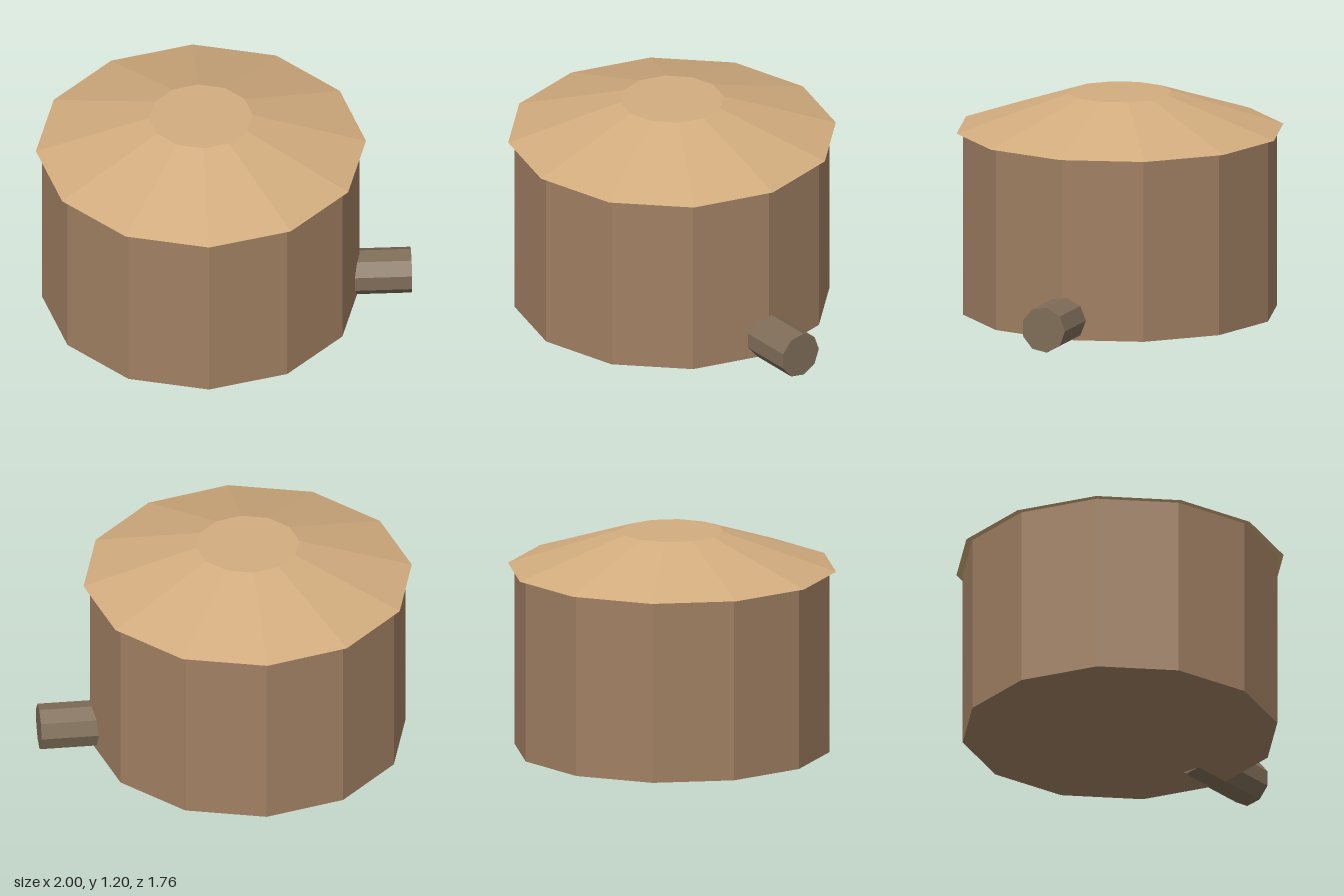
import * as THREE from 'three';

const paint = (name, color) => {
  const m = new THREE.MeshStandardMaterial({ color, flatShading: true });
  m.name = name;
  return m;
};

export function createModel() {
  const group = new THREE.Group();
  group.name = 'storageTank';
  const wallBrown = paint('wall brown', 0xa07f62);
  const roofTan = paint('roof tan', 0xd2ac7e);
  const pipeBrown = paint('pipe grey brown', 0x7f6d58);

  const add = (name, geometry, material, x, y) => {
    const mesh = new THREE.Mesh(geometry, material);
    mesh.name = name;
    mesh.position.set(x, y, 0);
    group.add(mesh);
  };

  const axis = -0.12; // tank is offset to make room for the pipe
  const base = 0.015, eaves = 1.0, top = 1.2;

  // Twelve-sided tank wall with its floor
  add('tankBody', new THREE.CylinderGeometry(0.846, 0.846, eaves - base, 12),
    wallBrown, axis, (base + eaves) / 2);

  // Overhanging truncated-cone roof
  add('roof', new THREE.CylinderGeometry(0.277, 0.88, top - eaves, 12),
    roofTan, axis, (eaves + top) / 2);

  // Nine-sided outlet pipe along x, dipping just below the floor
  const pipe = new THREE.CylinderGeometry(0.124, 0.124, 0.52, 9, 1, false, Math.PI);
  pipe.rotateZ(-Math.PI / 2);
  add('outletPipe', pipe, pipeBrown, 0.74, 0.123);

  return group;
}
